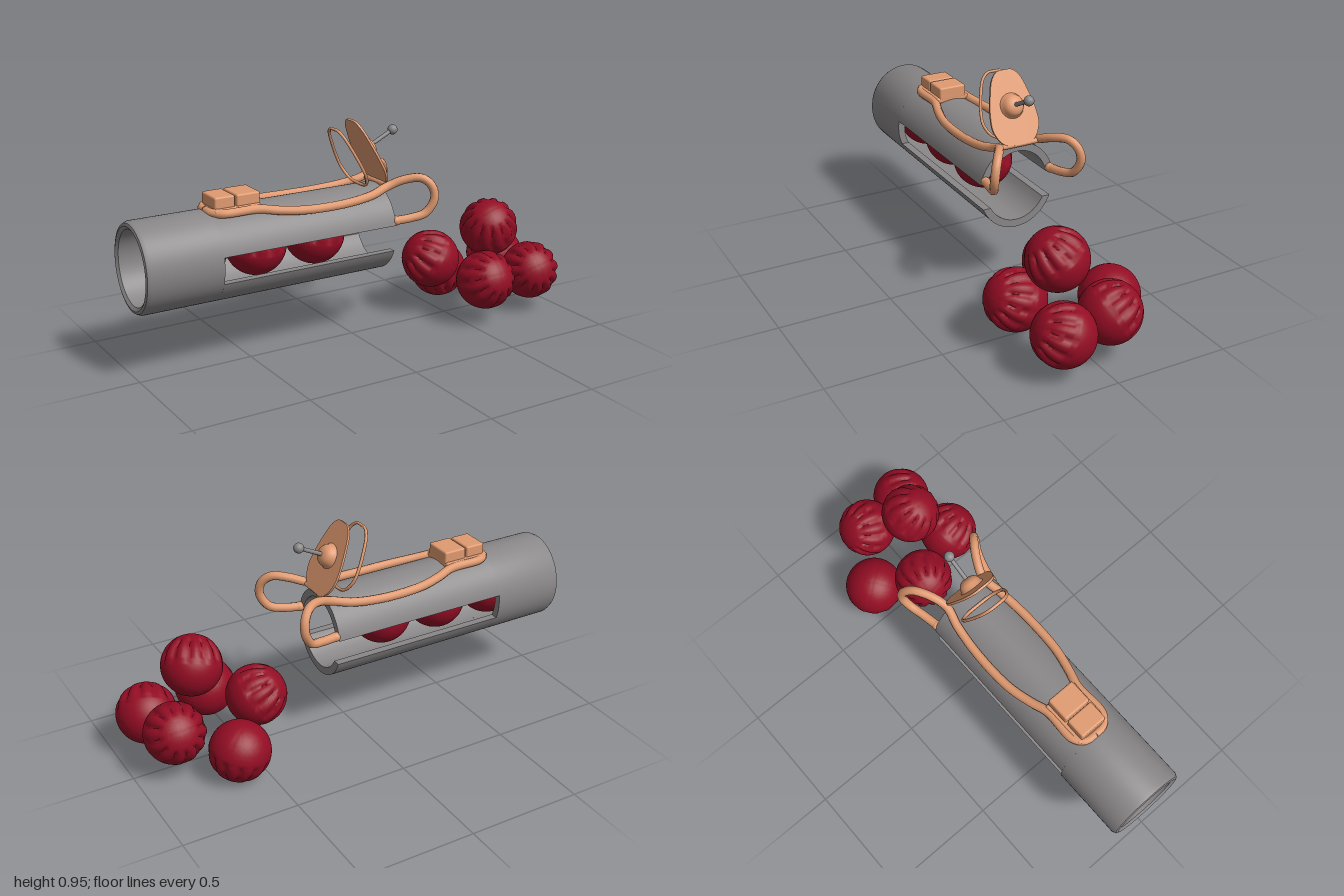
import * as THREE from 'three';
import { toCreasedNormals } from 'three/addons/utils/BufferGeometryUtils.js';
import { RoundedBoxGeometry } from 'three/addons/geometries/RoundedBoxGeometry.js';

const paint = (name, color) => {
  const m = new THREE.MeshStandardMaterial({ color });
  m.name = name;
  return m;
};
const V = (x, y, z) => new THREE.Vector3(x, y, z);
const CZ = -0.04; // symmetry plane of the tube and clip

export function createModel() {
  const grey = paint('steel grey', 0x8a8788);
  const copper = paint('copper', 0xe09a70);
  const red = paint('berry red', 0x930d24);
  const model = new THREE.Group();
  const add = (parent, name, geo, mat, x = 0, y = 0, z = 0) => {
    const m = new THREE.Mesh(geo, mat);
    m.name = name;
    m.position.set(x, y, z);
    parent.add(m);
    return m;
  };

  // Slightly oval tube: closed rear sleeve, then an upper and a lower shell with side slots
  const R = 0.192, RI = 0.158, SLOT = -0.67, END = 0.14;
  const tube = new THREE.Group();
  tube.name = 'tube';
  tube.position.set(0, 0.478, CZ);
  tube.scale.z = 0.176 / R;
  model.add(tube);
  const profile = [[0.172, -1], [0.184, -0.996], [R, -0.98], [R, SLOT], [RI, SLOT], [RI, -0.99], [0.172, -1]]
    .map(([r, h]) => new THREE.Vector2(r, h));
  const sleeve = new THREE.LatheGeometry(profile, 64).rotateZ(-Math.PI / 2);
  add(tube, 'rearSleeve', toCreasedNormals(sleeve, 0.6), grey);

  const shell = (name, cutY, sign) => {
    const pts = [], n = 40;
    const arc = (r, reverse) => {
      const a0 = Math.asin(cutY / r);
      const a1 = sign * Math.PI - a0;
      for (let i = 0; i <= n; i++) {
        const a = THREE.MathUtils.lerp(a0, a1, (reverse ? n - i : i) / n);
        pts.push(new THREE.Vector2(r * Math.cos(a), r * Math.sin(a)));
      }
    };
    arc(R, false);
    arc(RI, true);
    const geo = new THREE.ExtrudeGeometry(new THREE.Shape(pts), { depth: END - SLOT, bevelEnabled: false });
    add(tube, name, toCreasedNormals(geo.rotateY(Math.PI / 2), 0.6), grey, SLOT);
  };
  shell('upperShell', 0.037, 1);
  shell('lowerShell', -0.078, -1);

  // Balls with a band of grooves running away from one pole
  const ballGeo = new THREE.SphereGeometry(0.13, 72, 48);
  const p = ballGeo.attributes.position, v = V(0, 0, 0);
  for (let i = 0; i < p.count; i++) {
    v.fromBufferAttribute(p, i);
    const polar = Math.acos(THREE.MathUtils.clamp(v.y / 0.13, -1, 1)) * 180 / Math.PI;
    const band = THREE.MathUtils.smoothstep(polar, 32, 46) * (1 - THREE.MathUtils.smoothstep(polar, 80, 95));
    const groove = Math.pow(0.5 + 0.5 * Math.cos(12 * Math.atan2(v.z, v.x)), 2.5);
    v.multiplyScalar(1 - 0.1 * band * groove);
    p.setXYZ(i, v.x, v.y, v.z);
  }
  const smooth = toCreasedNormals(ballGeo, 1.2);
  const balls = [
    [0.675, 0.412, 0.085, -0.3, 0.75, 0.5],
    [0.445, 0.265, -0.04, -0.7, 0.5, -0.3],
    [0.57, 0.215, 0.21, 0, 0.45, 0.9],
    [0.86, 0.195, 0.163, -0.3, 0.4, 0.85],
    [0.61, 0.138, -0.21, 0.2, -0.9, 0.1],
    [0.83, 0.215, -0.065, 0.1, 0.5, -0.8],
    [-0.165, 0.488, CZ, 0.1, 1, 0.1],
    [-0.445, 0.488, CZ, 0, 1, 0.1],
    [-0.725, 0.488, CZ, -0.1, 1, 0]
  ];
  balls.forEach(([x, y, z, ax, ay, az], i) => {
    const b = add(model, i < 6 ? 'looseBall' : 'loadedBall', smooth, red, x, y, z);
    b.quaternion.setFromUnitVectors(V(0, 1, 0), V(ax, ay, az).normalize());
  });

  // Clip: wire arms along the tube that curl outwards into hooks
  const clip = new THREE.Group();
  clip.name = 'clip';
  clip.position.z = CZ;
  model.add(clip);
  const armPath = [
    [-0.665, 0.665, 0], [-0.66, 0.665, 0.045], [-0.62, 0.665, 0.08], [-0.47, 0.662, 0.082], [-0.39, 0.65, 0.105],
    [-0.28, 0.64, 0.128], [-0.1, 0.638, 0.132], [0.05, 0.65, 0.118], [0.14, 0.672, 0.1], [0.21, 0.698, 0.125],
    [0.275, 0.705, 0.165], [0.31, 0.67, 0.193], [0.315, 0.615, 0.203], [0.28, 0.555, 0.188],
    [0.22, 0.538, 0.17], [0.15, 0.532, 0.155]
  ];
  for (const s of [1, -1]) {
    const curve = new THREE.CatmullRomCurve3(armPath.map(([x, y, z]) => V(x, y, z * s)));
    add(clip, 'hookArm', new THREE.TubeGeometry(curve, 90, 0.019, 10), copper);
    add(clip, 'hookTip', new THREE.SphereGeometry(0.021, 16, 12), copper, 0.15, 0.532, 0.155 * s);
  }
  add(clip, 'padBase', new RoundedBoxGeometry(0.21, 0.026, 0.16, 2, 0.01), copper, -0.555, 0.67, 0);
  add(clip, 'rearPad', new RoundedBoxGeometry(0.09, 0.06, 0.125, 2, 0.008), copper, -0.608, 0.7, 0);
  add(clip, 'frontPad', new RoundedBoxGeometry(0.106, 0.06, 0.128, 2, 0.008), copper, -0.503, 0.7, 0);
  add(clip, 'hingeBar', new THREE.CylinderGeometry(0.012, 0.012, 0.2, 12).rotateX(Math.PI / 2), copper, 0.15, 0.672, 0);

  // Leaning egg-shaped plate, with a wire ring behind it
  const half = [[0.07, 0.012], [0.107, 0.07], [0.108, 0.13], [0.09, 0.215], [0.065, 0.285], [0.035, 0.315]];
  const outline = [[0, 0], ...half, [0, 0.318], ...half.map(([u, h]) => [-u, h]).reverse()];
  const loop = new THREE.CatmullRomCurve3(outline.map(([u, h]) => V(u, h, 0)), true);
  const lean = Math.atan2(0.14, 0.285);
  const plate = new THREE.Group();
  plate.name = 'plateAssembly';
  plate.position.set(0.16, 0.672, 0);
  plate.rotation.z = lean;
  clip.add(plate);
  const plateShape = new THREE.Shape(loop.getPoints(64).slice(0, 64).map(q => new THREE.Vector2(q.x, q.y)));
  const plateGeo = new THREE.ExtrudeGeometry(plateShape, { depth: 0.01, bevelEnabled: false });
  add(plate, 'plate', toCreasedNormals(plateGeo.rotateY(Math.PI / 2), 0.6), copper, -0.005);

  const ring = add(clip, 'wireRing', new THREE.TubeGeometry(loop, 64, 0.007, 8, true).rotateY(Math.PI / 2), copper, 0.06, 0.675, 0);
  ring.rotation.z = lean;
  ring.scale.set(1, 0.88, 0.94);

  // Boss and ball-ended pin standing out from the plate
  const dome = [[0.055, 0], [0.048, 0.01], [0.045, 0.022], [0.036, 0.035], [0.02, 0.042], [0, 0.044]]
    .map(([r, h]) => new THREE.Vector2(r, h));
  add(plate, 'boss', new THREE.LatheGeometry(dome, 32).rotateZ(-Math.PI / 2), copper, 0.004, 0.165, 0);
  add(plate, 'pin', new THREE.CylinderGeometry(0.009, 0.009, 0.14, 14).rotateZ(Math.PI / 2), grey, 0.085, 0.165, 0);
  add(plate, 'pinKnob', new THREE.SphereGeometry(0.022, 20, 16), grey, 0.16, 0.165, 0);

  return model;
}
